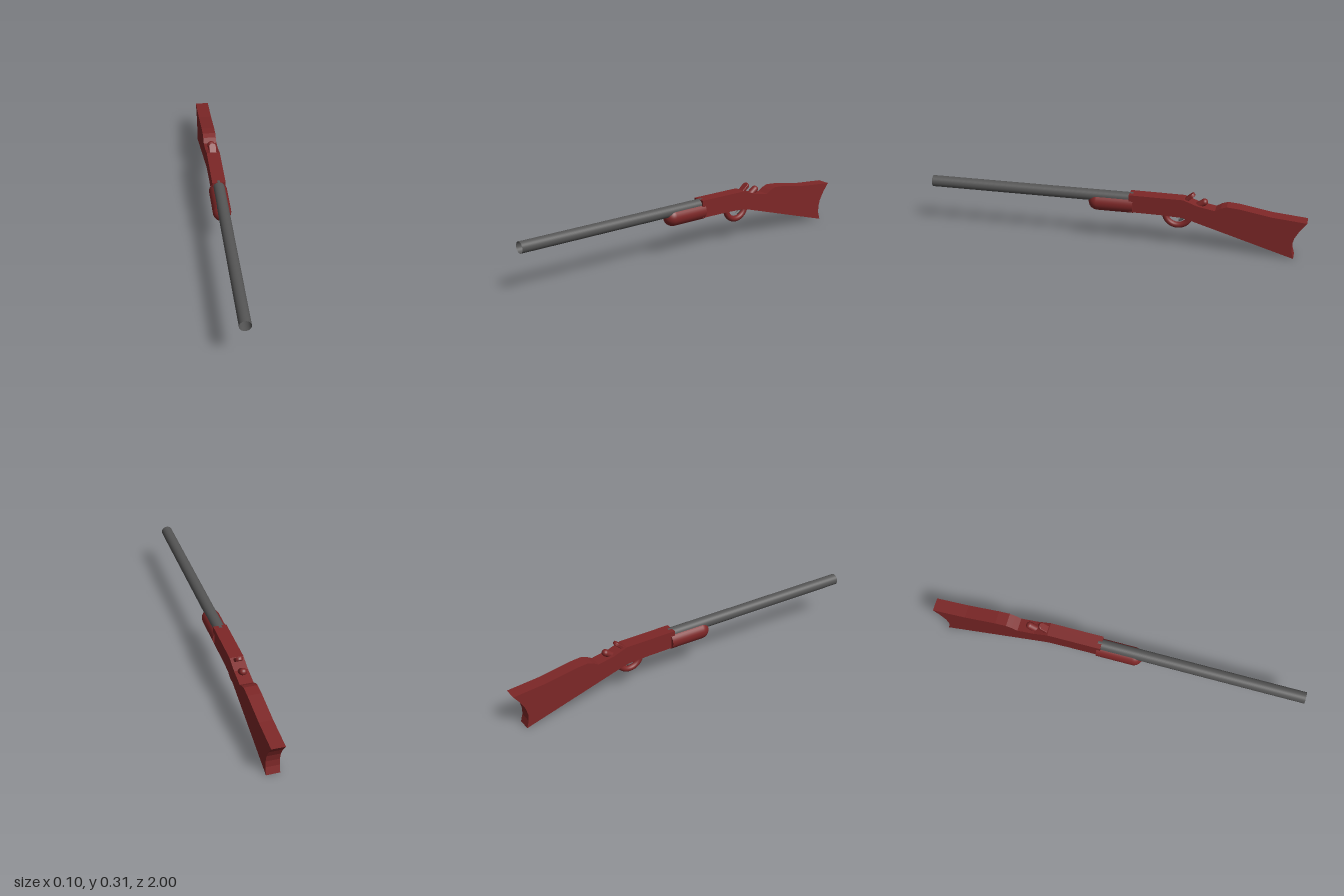
import * as THREE from 'three';

const wood = new THREE.MeshStandardMaterial({ color: 0x7d2727 });
const metal = new THREE.MeshStandardMaterial({ color: 0x555555 });
const tubeMetal = new THREE.MeshStandardMaterial({ color: 0x555555, side: THREE.DoubleSide });

export function createModel() {
  const group = new THREE.Group();
  const add = (name, geometry, material, x = 0, y = 0, z = 0) => {
    const mesh = new THREE.Mesh(geometry, material);
    mesh.name = name;
    mesh.position.set(x, y, z);
    group.add(mesh);
    return mesh;
  };

  // Receiver and stock: one side profile (z, y) extruded across x
  const profile = [
    [-0.08, 0.277], [-0.365, 0.275], [-0.44, 0.247], [-0.53, 0.23], [-0.56, 0.247],
    [-0.59, 0.257], [-0.65, 0.252], [-0.82, 0.222], [-1, 0.205], [-0.965, 0.16],
    [-0.94, 0.115], [-0.93, 0.075], [-0.931, 0.04], [-0.942, 0], [-0.4, 0.165],
    [-0.36, 0.175], [-0.25, 0.18], [-0.08, 0.182],
  ];
  const shape = new THREE.Shape(profile.map(([z, y]) => new THREE.Vector2(z, y)));
  const stockGeo = new THREE.ExtrudeGeometry(shape, { depth: 0.071, bevelEnabled: false });
  stockGeo.rotateY(-Math.PI / 2);
  add('stock', stockGeo, wood, 0.038);

  // Open hollow barrel
  const barrelGeo = new THREE.CylinderGeometry(0.03, 0.03, 1.1, 32, 1, true);
  barrelGeo.rotateX(Math.PI / 2);
  add('barrel', barrelGeo, tubeMetal, 0.002, 0.248, 0.45);

  // Fore-end with a domed front and a flat back
  const foreEnd = [new THREE.Vector2(0, -0.1), new THREE.Vector2(0.048, -0.1), new THREE.Vector2(0.048, -0.1)];
  for (let i = 0; i <= 10; i++) {
    const a = (i / 10) * Math.PI / 2;
    foreEnd.push(new THREE.Vector2(0.048 * Math.cos(a), 0.093 + 0.048 * Math.sin(a)));
  }
  const foreGeo = new THREE.LatheGeometry(foreEnd, 32);
  foreGeo.rotateX(Math.PI / 2);
  add('foreEnd', foreGeo, wood, -0.001, 0.214, 0);

  // Trigger guard ring, its top half sunk into the receiver
  const guardGeo = new THREE.TorusGeometry(0.067, 0.016, 14, 40);
  guardGeo.rotateY(Math.PI / 2);
  add('triggerGuard', guardGeo, wood, 0.005, 0.186, -0.333);

  // Curved trigger
  const triggerPath = new THREE.QuadraticBezierCurve3(
    new THREE.Vector3(0, 0.19, -0.375), new THREE.Vector3(0, 0.155, -0.37), new THREE.Vector3(0, 0.146, -0.34));
  add('trigger', new THREE.TubeGeometry(triggerPath, 10, 0.007, 8), metal, 0.003);

  // Hammer: rounded plate leaning backwards
  const plate = new THREE.Shape();
  plate.moveTo(-0.02, -0.04);
  plate.lineTo(0.02, -0.04);
  plate.lineTo(0.02, 0.014);
  plate.absarc(0, 0.014, 0.02, 0, Math.PI);
  plate.closePath();
  const hammerGeo = new THREE.ExtrudeGeometry(plate, {
    depth: 0.01, bevelThickness: 0.004, bevelSize: 0.004, bevelOffset: -0.004, bevelSegments: 3, curveSegments: 16,
  });
  hammerGeo.translate(0, 0, -0.005);
  add('hammer', hammerGeo, wood, 0.002, 0.28, -0.393).rotation.x = -0.87;

  // Rounded thumb catch behind the hammer
  const catchGeo = new THREE.CapsuleGeometry(0.018, 0.04, 8, 20);
  const thumbCatch = add('thumbCatch', catchGeo, wood, 0.002, 0.249, -0.455);
  thumbCatch.rotation.x = -0.95;
  thumbCatch.scale.x = 1.1;

  return group;
}
